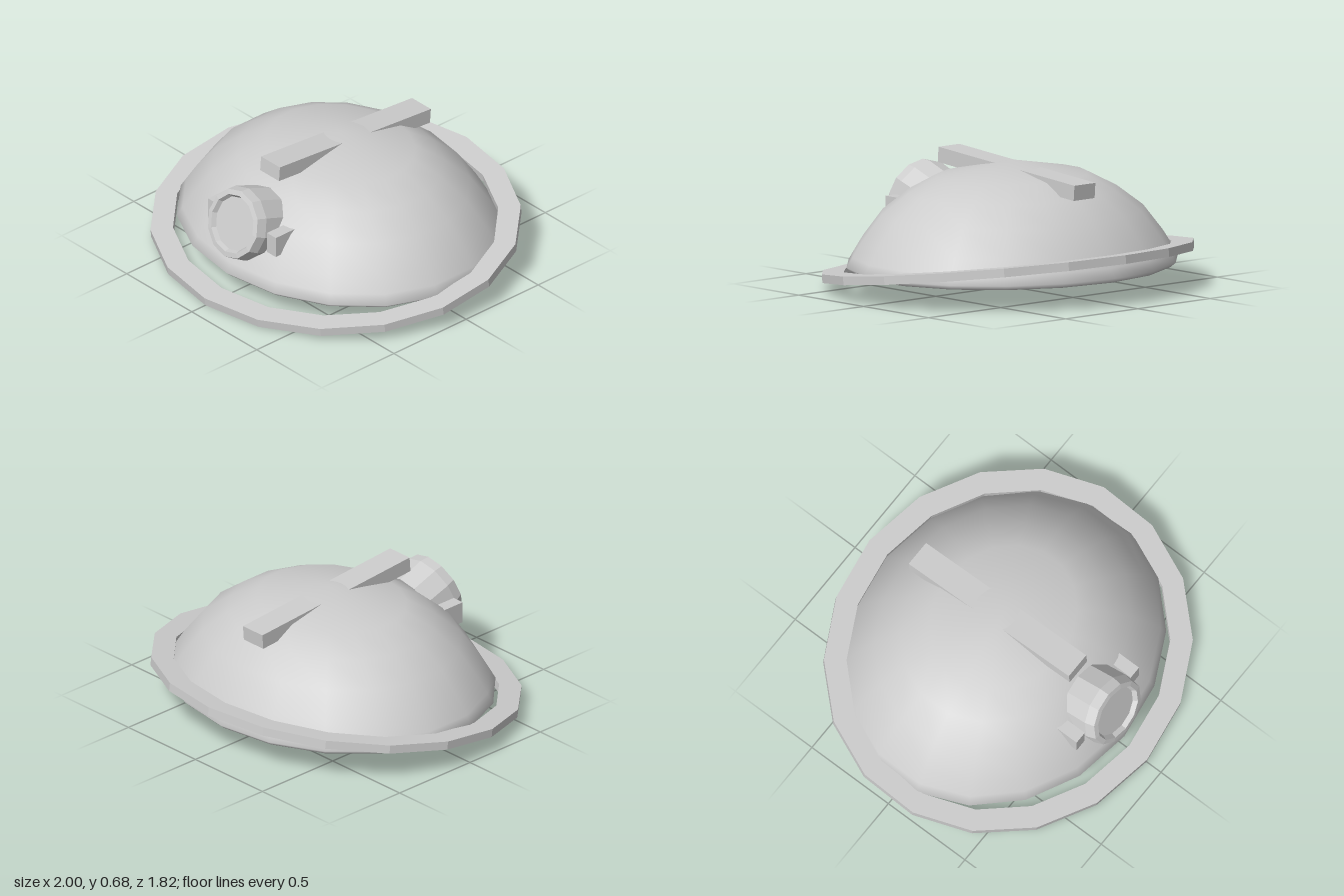
import * as THREE from 'three';

const grey = new THREE.MeshStandardMaterial({ color: 0xcccccc, side: THREE.DoubleSide });
grey.name = 'grey';

const lathe = (points, sides) =>
  new THREE.LatheGeometry(points.map(([r, y]) => new THREE.Vector2(r, y)), sides);

// Separate the faces so each gets its own flat normal
function faceted(geometry) {
  const g = geometry.toNonIndexed();
  g.computeVertexNormals();
  return g;
}

// Corners of an oval polygon with a corner at the front and back
const oval = (rx, ry, sides) => Array.from({ length: sides }, (_, i) => {
  const a = (i / sides) * Math.PI * 2;
  return new THREE.Vector2(rx * Math.sin(a), ry * Math.cos(a));
});

// Thick oval shell: inner wall from the crown down, round the lip, then the outer wall up
function domeGeometry() {
  const profile = [
    [0, 0.63], [0.435, 0.555], [0.605, 0.478], [0.755, 0.378], [0.87, 0.248], [0.925, 0.165],
    [0.935, 0.122], [0.968, 0.115], [1, 0.139], [0.965, 0.19],
    [0.91, 0.268], [0.79, 0.405], [0.63, 0.512], [0.455, 0.592], [0, 0.668],
  ];
  const g = lathe(profile, 18);
  // Smooth the two poles
  const normal = g.attributes.normal;
  for (let i = 0; i < normal.count; i += profile.length) {
    normal.setXYZ(i, 0, -1, 0);
    normal.setXYZ(i + profile.length - 1, 0, 1, 0);
  }
  return g;
}

export function createModel() {
  const model = new THREE.Group();
  model.name = 'headlampHelmet';
  const add = (name, geometry, x, y, z, tilt = 0) => {
    const mesh = new THREE.Mesh(geometry, grey);
    mesh.name = name;
    mesh.position.set(x, y, z);
    mesh.rotation.x = tilt;
    model.add(mesh);
    return mesh;
  };

  add('dome', domeGeometry(), 0, 0, -0.032).scale.set(0.914, 1, 0.792);

  // Flat oval brim, tilted down to the front
  const brimShape = new THREE.Shape(oval(1.015, 0.915, 18));
  brimShape.holes.push(new THREE.Path(oval(0.9, 0.797, 18).reverse()));
  const brim = new THREE.ExtrudeGeometry(brimShape, { depth: 0.045, bevelEnabled: false });
  brim.translate(0, 0, -0.0225).rotateX(-Math.PI / 2);
  add('brim', brim, 0, 0.137, 0, THREE.MathUtils.degToRad(7));

  // Ridge bar running through the crown
  add('crownBar', new THREE.BoxGeometry(0.145, 0.08, 1.05), 0, 0.604, -0.066,
    -THREE.MathUtils.degToRad(4.4));

  // Lamp with bevelled rim and recessed lens
  const lampTilt = THREE.MathUtils.degToRad(71);
  const lamp = lathe([
    [0, 0], [0.19, 0], [0.195, 0.155], [0.182, 0.208], [0.155, 0.212], [0.142, 0.188],
  ], 12);
  add('lampHousing', faceted(lamp), 0, 0.351, 0.519, lampTilt);
  const lens = lathe([[0.142, 0.188], [0, 0.188]], 12);
  add('lampLens', faceted(lens), 0, 0.351, 0.519, lampTilt);

  // Brackets on both sides of the lamp
  for (const side of [-1, 1]) {
    add(side > 0 ? 'leftBracket' : 'rightBracket',
      new THREE.BoxGeometry(0.068, 0.115, 0.145), side * 0.227, 0.368, 0.58);
  }

  return model;
}
